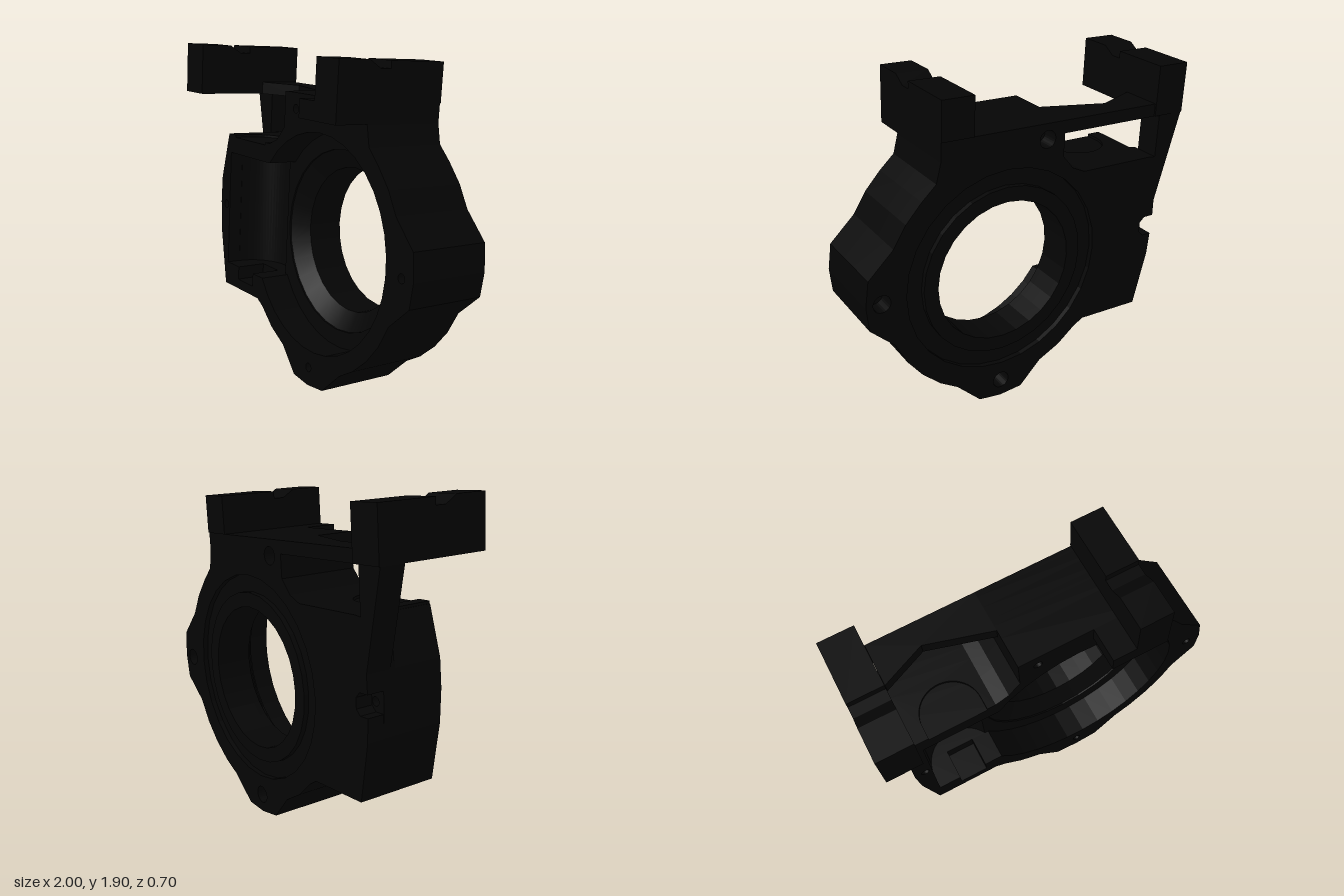
import * as THREE from 'three';

const CX = 0.17, CY = 0.84; // bore centre
const TOP = 1.22, BOTTOM = 0.51; // pocket ends

export function createModel() {
  const root = new THREE.Group();
  root.name = 'gearboxHousing';
  const body = new THREE.Group();
  body.name = 'tiltedHousing';
  body.rotation.x = -0.062; // the whole casting leans back slightly
  root.add(body);

  const black = new THREE.MeshStandardMaterial({ color: 0x050505 });
  black.name = 'black';

  const add = (name, geo) => {
    const m = new THREE.Mesh(geo, black);
    m.name = name;
    body.add(m);
  };
  const poly = (pts) => new THREE.Shape(pts.map(([x, y]) => new THREE.Vector2(x, y)));
  const circle = (x, y, r) => new THREE.Path().absarc(x, y, r, 0, Math.PI * 2, false);
  const extrude = (shape, depth) =>
    new THREE.ExtrudeGeometry(shape, { depth, bevelEnabled: false, curveSegments: 14 });
  // extrude along z, y or x between two positions
  const alongZ = (s, a, b) => extrude(s, b - a).translate(0, 0, a);
  const alongY = (s, a, b) => extrude(s, b - a).rotateX(-Math.PI / 2).translate(0, a, 0);
  const alongX = (s, a, b) => extrude(s, b - a).rotateY(Math.PI / 2).translate(a, 0, 0);

  // Outline of the casting, anticlockwise from lower left
  const outline = [
    [-0.79, 0.37], [-0.4, 0.37], [-0.34, 0.335], [-0.23, 0.24], [-0.1, 0.17],
    [0.03, 0.03], [0.17, 0.014], [0.31, 0.03], [0.46, 0.17], [0.57, 0.235],
    [0.68, 0.33], [0.77, 0.44], [0.84, 0.57], [0.983, 0.7], [1, 0.84],
    [0.983, 0.99], [0.84, 1.135], [0.77, 1.255], [0.68, 1.36], [0.598, 1.44],
    [0.573, 1.55], [0.573, 1.655], [-0.18, 1.655], [-0.18, 1.45], [-0.25, 1.37], [-0.33, 1.335],
  ];
  const backCorner = [[-0.8, 1.335], [-0.84, 1.33], [-0.87, 1.05]];
  const frontCorner = [[-0.33, 1.32], [-0.803, 1.32], [-0.87, 1.05]];
  const notch = [[-0.873, 0.95], [-0.81, 0.95], [-0.78, 0.92], [-0.78, 0.86], [-0.81, 0.83], [-0.868, 0.83]];
  const plainSide = [[-0.875, 0.89]];

  // Pocket floor, and the wider opening that runs from the pocket into the bore
  const pocket = () => poly([[-0.77, TOP], [-0.77, BOTTOM], [-0.36, BOTTOM], [-0.36, TOP]]);
  const opening = (r) => {
    const slot = BOTTOM - 0.08;
    const p = poly([[-0.77, TOP], [-0.77, BOTTOM], [-0.635, BOTTOM], [-0.635, slot], [-0.465, slot], [-0.465, BOTTOM]]);
    const a0 = -Math.PI + Math.asin((CY - BOTTOM) / r), a1 = Math.PI - Math.asin((TOP - CY) / r);
    p.absarc(CX, CY, r, a0, a1, false);
    return p;
  };

  // Slices of the casting from back to front: z range, bore radius, pocket type, screw radius
  const slices = [
    ['backFace', -0.23, -0.2, 0.6, 'none', 0.05],
    ['backCounterbore', -0.2, -0.13, 0.415, 'none', 0.05],
    ['boreWall', -0.13, -0.05, 0.415, 'none', 0.025],
    ['pocketBase', -0.05, -0.01, 0.415, 'pocket', 0.025],
    ['frontCounterbore', -0.01, 0.07, 0.52, 'pocket', 0.025],
    ['openFront', 0.07, 0.252, 0.62, 'opening', 0.025],
  ];
  for (const [name, z0, z1, r, kind, screw] of slices) {
    const back = screw > 0.04;
    const s = poly([...outline, ...(kind === 'none' ? backCorner : frontCorner),
      ...(back ? notch : plainSide), [-0.86, 0.7]]);
    s.holes.push(kind === 'opening' ? opening(r) : circle(CX, CY, r));
    if (kind === 'pocket') s.holes.push(pocket());
    for (const [x, y] of [[-0.07, 1.565], [0.91, 0.84], [CX, 0.12]]) s.holes.push(circle(x, y, screw));
    if (!back) s.holes.push(circle(-0.81, 0.885, screw));
    add(name, alongZ(s, z0, z1));
  }

  // Hub ring standing inside the groove on the back
  const hub = new THREE.Shape().absarc(CX, CY, 0.5, 0, Math.PI * 2, false);
  hub.holes.push(circle(CX, CY, 0.415));
  add('backHub', alongZ(hub, -0.23, -0.2));

  // Conical seat inside the front counterbore
  const seat = new THREE.LatheGeometry(
    [new THREE.Vector2(0.52, 0.06), new THREE.Vector2(0.415, -0.01)], 28);
  add('boreSeat', seat.rotateX(Math.PI / 2).translate(CX, CY, 0));

  // Half-round cradle lining the pocket, lower on the bore side
  const cradle = new THREE.Shape();
  cradle.moveTo(-0.77, 0.05);
  cradle.lineTo(-0.36, 0.05);
  cradle.lineTo(-0.36, -0.07);
  cradle.absarc(-0.56, -0.17, 0.208, Math.asin(0.1 / 0.208), Math.PI, false);
  cradle.lineTo(-0.77, -0.17);
  add('pocketCradle', alongY(cradle, BOTTOM, TOP));

  // Thin cap on the pocket with a rounded recess open to the front
  const cap = new THREE.Shape();
  cap.moveTo(-0.8, 0.05);
  cap.lineTo(-0.8, -0.252);
  cap.lineTo(-0.72, -0.252);
  cap.absarc(-0.55, -0.17, 0.17, Math.PI, 0, true);
  cap.lineTo(-0.38, -0.252);
  cap.lineTo(-0.33, -0.252);
  cap.lineTo(-0.33, 0.05);
  add('pocketCap', alongY(cap, 1.32, 1.335));

  // Open frame beside the bore: bar and slanted post
  add('topBar', alongY(poly([[-0.8, 0.23], [-0.18, 0.23], [-0.18, -0.02], [-0.55, 0.09], [-0.8, -0.02]]), 1.582, 1.655));
  add('sidePost', alongZ(poly([[-0.87, 1.05], [-0.84, 1.05], [-0.84, 1.582], [-1, 1.582]]), -0.23, -0.08));

  // Mounting uprights with a stepped groove across the top
  const upright = (bottom) => poly([
    [0.236, bottom], [0.236, 1.873], [-0.12, 1.873], [-0.12, 1.832], [-0.184, 1.832],
    [-0.257, 1.876], [-0.449, 1.876], [-0.449, bottom],
  ]);
  add('rightUpright', alongX(upright(1.582), -1, -0.803));
  add('leftUpright', alongX(upright(1.655), 0.385, 0.573));

  // Forward arm under the left upright
  add('forwardArm', new THREE.BoxGeometry(0.323, 0.102, 0.197).translate(0.4115, 1.604, 0.3505));

  return root;
}
